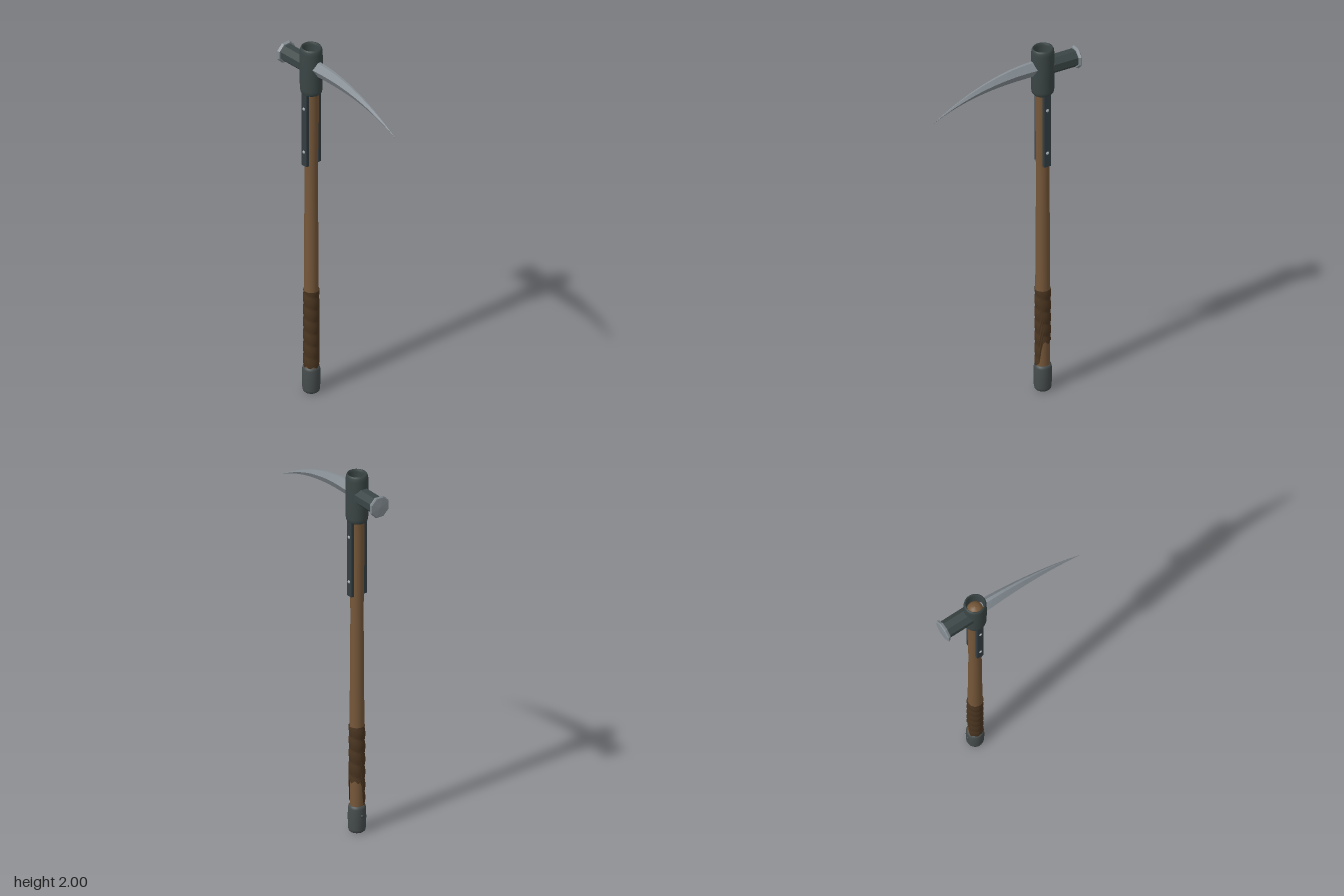
import * as THREE from 'three';

const AXIS_X = -0.215; // handle axis
const HEAD_Y = 1.888; // hammer axis height

const mat = (name, color, side = THREE.FrontSide) => {
  const m = new THREE.MeshStandardMaterial({ color, side });
  m.name = name;
  return m;
};

function lathe(pts, segments = 28) {
  return new THREE.LatheGeometry(pts.map(([r, y]) => new THREE.Vector2(r, y)), segments);
}

// Hard facets
function faceted(geo) {
  const g = geo.index ? geo.toNonIndexed() : geo;
  g.computeVertexNormals();
  return g;
}

// Curved spike: six-sided sections along x, tapering to a point
function pickGeometry() {
  const steps = 16, pos = [], idx = [];
  for (let i = 0; i <= steps; i++) {
    const x = -0.19 + (0.605 * i) / steps;
    const u = Math.min(1, Math.max(0, (x + 0.153) / 0.568));
    const top = 1.932 - 0.184 * u ** 1.9;
    const low = 1.852 - 0.107 * u ** 2.6;
    const mid = low + (top - low) * 0.55;
    const w = 0.034 * (1 - u) + 0.001;
    const n = w * 0.25;
    for (const [y, z] of [[top, n], [mid, w], [low, n], [low, -n], [mid, -w], [top, -n]]) pos.push(x, y, z);
  }
  for (let i = 0; i < steps; i++) {
    for (let j = 0; j < 6; j++) {
      const a = i * 6 + j, b = i * 6 + ((j + 1) % 6);
      idx.push(a, b, a + 6, b, b + 6, a + 6);
    }
  }
  const last = steps * 6;
  for (let j = 1; j < 5; j++) idx.push(last, last + j, last + j + 1);
  const g = new THREE.BufferGeometry();
  g.setAttribute('position', new THREE.Float32BufferAttribute(pos, 3));
  g.setIndex(idx);
  return faceted(g);
}

// Spiral leather wrap with a worn lower edge that rides up at the back
function gripGeometry() {
  const g = new THREE.CylinderGeometry(1, 1, 1, 28, 84, true);
  const p = g.attributes.position;
  for (let i = 0; i < p.count; i++) {
    const a = Math.atan2(p.getX(i), p.getZ(i));
    const back = THREE.MathUtils.smoothstep(Math.cos(a - Math.PI - 0.45), 0.1, 0.6);
    const low = 0.15 + 0.135 * back + 0.008 * Math.sin(a * 7);
    const y = low + (0.59 - low) * (p.getY(i) + 0.5);
    const r = 0.0385 + 0.004 * Math.abs(Math.sin(y * 44 + a / 2));
    p.setXYZ(i, Math.sin(a) * r, y, Math.cos(a) * r);
  }
  g.computeVertexNormals();
  return g;
}

export function createModel() {
  const wood = mat('wood', 0x755739);
  const leather = mat('leather', 0x4a3520, THREE.DoubleSide);
  const iron = mat('dark iron', 0x3b4545);
  const strapIron = mat('strap iron', 0x333d42);
  const capIron = mat('cap iron', 0x464c4c);
  const steel = mat('steel', 0x858d93);
  const rivetSteel = mat('rivet steel', 0xa3abb0);

  const group = new THREE.Group();
  const add = (name, geo, material, x = 0, y = 0, z = 0) => {
    const m = new THREE.Mesh(geo, material);
    m.name = name;
    m.position.set(x, y, z);
    group.add(m);
    return m;
  };

  // Wooden handle, slightly waisted, with a domed end inside the socket
  const handle = add('handle', lathe([
    [0.036, 0.05], [0.0365, 0.2], [0.038, 0.45], [0.038, 0.65], [0.0365, 0.85], [0.036, 1.0],
    [0.034, 1.2], [0.036, 1.4], [0.039, 1.58], [0.039, 1.74], [0.043, 1.76], [0.043, 1.92],
    [0.036, 1.938], [0.02, 1.95], [0, 1.954],
  ]), wood, AXIS_X);
  handle.scale.z = 0.97;

  add('gripWrap', gripGeometry(), leather, AXIS_X);

  // Butt cap with its pin
  add('buttCap', lathe([
    [0, 0], [0.036, 0], [0.042, 0.006], [0.045, 0.018], [0.047, 0.08], [0.0455, 0.132], [0.042, 0.145], [0.034, 0.147],
  ]), capIron, AXIS_X);
  add('capPin', new THREE.SphereGeometry(0.009, 10, 8), iron, AXIS_X - 0.044, 0.095);

  // Head socket, open at the top
  const socket = add('headSocket', lathe([
    [0.036, 1.736], [0.05, 1.736], [0.056, 1.744], [0.059, 1.762], [0.0605, 1.87], [0.0595, 1.972],
    [0.057, 1.99], [0.052, 2.0], [0.048, 1.998], [0.045, 1.985], [0.0435, 1.9],
  ], 32), iron, AXIS_X);
  socket.scale.z = 0.95;

  add('pickSpike', pickGeometry(), steel);

  // Octagonal hammer neck and flared striking face
  const neck = new THREE.CylinderGeometry(0.048, 0.048, 0.16, 8);
  neck.rotateY(Math.PI / 8).rotateZ(Math.PI / 2);
  add('hammerNeck', faceted(neck), iron, -0.318, HEAD_Y);
  const face = lathe([[0, 0], [0.055, 0], [0.061, 0.013], [0.054, 0.018], [0, 0.021]], 8);
  face.rotateY(Math.PI / 8).rotateZ(Math.PI / 2);
  add('hammerFace', faceted(face), steel, -0.396, HEAD_Y);

  // Riveted straps on front and back
  for (const s of [1, -1]) {
    add('strap', new THREE.BoxGeometry(0.038, 0.415, 0.018), strapIron, AXIS_X, 1.532, s * 0.04);
    for (const y of [1.405, 1.655]) {
      const rivet = add('strapRivet', new THREE.SphereGeometry(0.009, 12, 8), rivetSteel, AXIS_X, y, s * 0.049);
      rivet.scale.z = 0.7;
    }
  }
  return group;
}
